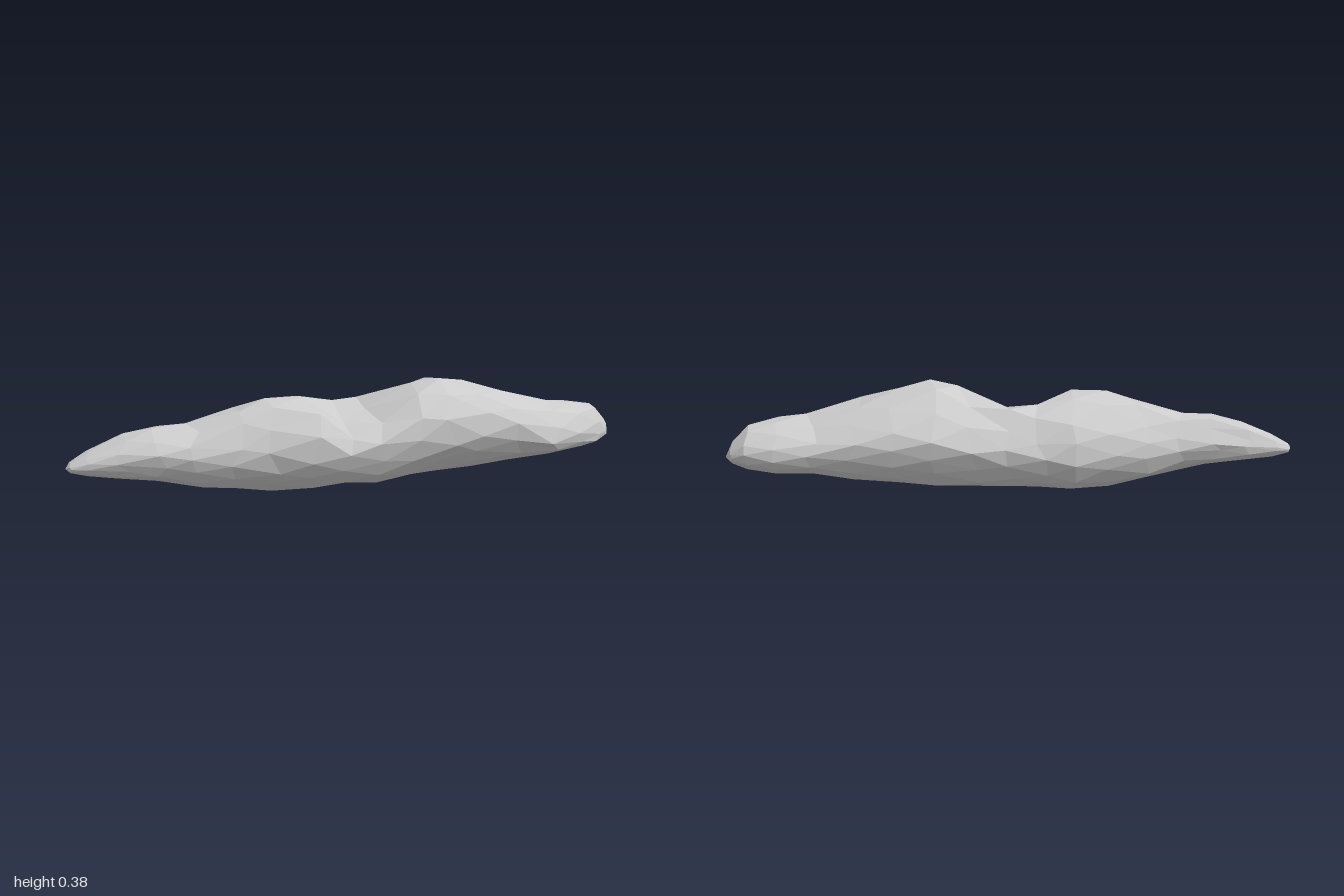
import * as THREE from 'three';

// Outline curves along x: [x, value]
const TOP = [[-1, .135], [-.95, .168], [-.77, .247], [-.58, .272], [-.45, .305], [-.3, .35], [-.17, .34], [-.07, .307], [.02, .303],
  [.1, .33], [.2, .372], [.28, .387], [.42, .362], [.55, .322], [.7, .28], [.9, .257], [.95, .235], [1, .15]];
const BOTTOM = [[-1, .115], [-.95, .1], [-.8, .085], [-.6, .055], [-.48, .023], [-.25, 0], [0, .018], [.2, .02], [.4, .043],
  [.65, .073], [.9, .093], [1, .13]];
const BACK = [[-1, -.085], [-.97, -.1], [-.8, -.125], [-.57, -.135], [-.4, -.165], [-.22, -.198], [.05, -.176], [.25, -.202],
  [.5, -.167], [.6, -.14], [.88, -.112], [.95, -.085], [1, -.02]];
const FRONT = [[-1, -.035], [-.95, -.005], [-.8, .06], [-.64, .127], [-.5, .117], [-.3, .145], [0, .19], [.2, .199], [.4, .184],
  [.7, .17], [.9, .105], [.95, .07], [1, .025]];

// Unit cross-section (z, y), from the crest over the front, under and up the back
const SECTION = new THREE.CatmullRomCurve3([[.1, 1], [.58, .88], [.88, .55], [1, .08], [.93, -.3], [.72, -.62], [.38, -.88],
  [-.08, -1], [-.45, -.95], [-.74, -.72], [-.93, -.4], [-1, -.06], [-.82, .34], [-.42, .77]]
  .map(([u, v]) => new THREE.Vector3(u, v, 0)), true);
const SIDES = 13;

const STATIONS = [-.985, -.93, -.82, -.7, -.58, -.45, -.32, -.19, -.07, .05, .17, .29, .42, .56, .7, .83, .92, .975];

// Shallow hollows in the upper front: x, z, radius in x, radius in z, depth
const HOLLOWS = [[.01, .1, .13, .09, .04], [-.56, .03, .13, .07, .025]];

const { smoothstep, mapLinear, clamp } = THREE.MathUtils;

function sample(curve, x) {
  let i = 1;
  while (i < curve.length - 1 && curve[i][0] < x) i++;
  const [a, b] = [curve[i - 1], curve[i]];
  return mapLinear(clamp(x, a[0], b[0]), a[0], b[0], a[1], b[1]);
}

function seeded(seed) {
  return () => {
    seed = (seed * 16807) % 2147483647;
    return seed / 2147483647;
  };
}

// One uneven ring; odd rings are turned by half a side
function ringPoints(i, random) {
  const station = STATIONS[i];
  const gap = Math.min(station - (STATIONS[i - 1] ?? -1), (STATIONS[i + 1] ?? 1) - station);
  const ring = [];
  for (let j = 0; j < SIDES; j++) {
    const t = (j + (i % 2) / 2 + (random() - .5) * .3) / SIDES;
    const p = SECTION.getPoint((t + 1) % 1).multiplyScalar(.95 + random() * .08);
    ring.push({ u: p.x, v: p.y, x: station + gap * (random() - .5) * .45 });
  }
  // keep each ring reaching the outline on all four sides
  for (const key of ['u', 'v']) {
    const values = ring.map((p) => p[key]);
    const low = Math.min(...values), high = Math.max(...values);
    for (const p of ring) p[key] = mapLinear(p[key], low, high, -1, 1);
  }
  return ring.map(surfacePoint);
}

function surfacePoint({ u, v, x }) {
  const top = sample(TOP, x), bottom = sample(BOTTOM, x), back = sample(BACK, x), front = sample(FRONT, x);
  // the crest wanders towards the back at the thin end and in the saddle
  const skew = .45 * smoothstep(-x, .35, .6) + .5 * Math.exp(-((x / .13) ** 2));
  const u2 = u - skew * Math.max(v, 0) * (1 - u * u);
  // the front bulges lower at the thick end
  const v2 = v - .35 * smoothstep(x, .5, .75) * Math.max(u, 0) * (1 - v * v);
  const z = (front + back) / 2 + u2 * (front - back) / 2;
  let y = (top + bottom) / 2 + v2 * (top - bottom) / 2;
  for (const [hx, hz, rx, rz, depth] of HOLLOWS) {
    y -= depth * smoothstep(v, 0, .5) * Math.exp(-(((x - hx) / rx) ** 2) - ((z - hz) / rz) ** 2);
  }
  return [x, y, z];
}

function rockGeometry() {
  const random = seeded(71);
  const points = STATIONS.flatMap((_, i) => ringPoints(i, random)).flat();
  const last = (STATIONS.length - 1) * SIDES;
  const left = last + SIDES, right = left + 1;
  points.push(-1, .125, -.06, 1, .14, .003);

  const index = [];
  for (let j = 0; j < SIDES; j++) {
    const k = (j + 1) % SIDES;
    // facets between the staggered rings
    for (let i = 0; i < STATIONS.length - 1; i++) {
      const a = i * SIDES + j, b = i * SIDES + k, c = a + SIDES, d = b + SIDES;
      if (i % 2) index.push(a, b, d, a, d, c);
      else index.push(a, b, c, b, d, c);
    }
    // end tips
    index.push(left, k, j, right, last + j, last + k);
  }
  const geometry = new THREE.BufferGeometry();
  geometry.setAttribute('position', new THREE.Float32BufferAttribute(points, 3));
  geometry.setIndex(index);
  const faceted = geometry.toNonIndexed();
  faceted.computeVertexNormals();
  return faceted;
}

export function createModel() {
  const group = new THREE.Group();
  group.name = 'longRock';
  const material = new THREE.MeshStandardMaterial({ color: 0xcccccc, flatShading: true });
  const rock = new THREE.Mesh(rockGeometry(), material);
  rock.name = 'rock';
  group.add(rock);
  return group;
}
